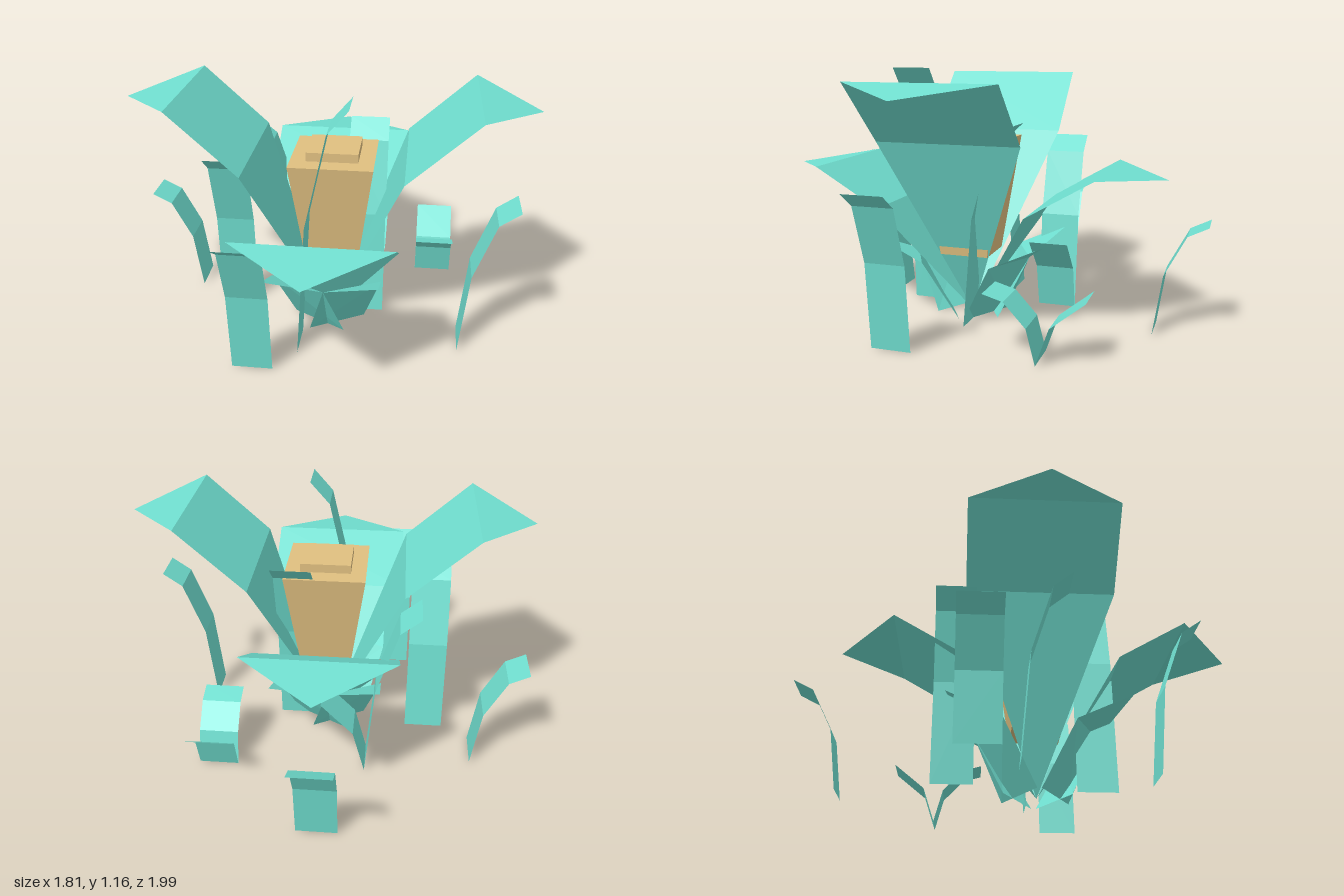
import * as THREE from 'three';

const leafMat = new THREE.MeshStandardMaterial({ color: 0x70dfd0, flatShading: true, side: THREE.DoubleSide });
const coreMat = new THREE.MeshStandardMaterial({ color: 0xdfbf80, flatShading: true, side: THREE.DoubleSide });
const CZ = 0.09; // z of the flower's axis

// Thin sheet through rows of points; a row holds one point (a tip) or two (a left and right edge).
function sheet(rows, name) {
  const pos = [];
  for (let i = 0; i + 1 < rows.length; i++) {
    const a = rows[i], b = rows[i + 1];
    if (a.length === 2) pos.push(...a[0], ...a[1], ...b[b.length - 1]);
    if (b.length === 2) pos.push(...a[0], ...b[1], ...b[0]);
  }
  const geo = new THREE.BufferGeometry();
  geo.setAttribute('position', new THREE.Float32BufferAttribute(pos, 3));
  geo.computeVertexNormals();
  const mesh = new THREE.Mesh(geo, leafMat);
  mesh.name = name;
  return mesh;
}

// Large folded petal pointing along +z before it is turned
function petal(h, name) {
  const w = 0.33;
  return sheet([
    [[0, 0, 0]],
    [[-w, 0.845 * h, 0.34], [w, 0.845 * h, 0.34]],
    [[-w, 1.12 * h, 0.64], [w, 1.12 * h, 0.64]],
    [[0, 1.068 * h, 0.905]],
  ], name);
}

// Grass blade: a folded strip bending along +z before it is turned
const TALL = [[0, 0], [0.04, 0.545], [0.135, 0.91], [0.225, 1]];
const SHORT = [[0, 0], [0.055, 0.58], [0.2, 1]];
function blade(x, z, turn, h, profile = TALL) {
  const m = sheet(profile.map(([d, y]) => [[-0.09, y * h, d], [0.09, y * h, d]]), 'grassBlade');
  m.position.set(x, 0, z);
  m.rotation.y = turn;
  return m;
}

export function createModel() {
  const model = new THREE.Group();

  // Petals: the side pair stands taller than the front and back pair
  const petals = new THREE.Group();
  petals.name = 'petals';
  petals.position.z = CZ;
  ['frontPetal', 'leftPetal', 'backPetal', 'rightPetal'].forEach((name, i) => {
    const p = petal(i % 2 ? 1 : 0.64, name);
    p.rotation.y = i * Math.PI / 2;
    petals.add(p);
  });
  model.add(petals);

  // Small pointed leaves around the base, mirrored to four corners
  const leaves = new THREE.Group();
  leaves.name = 'baseLeaves';
  leaves.position.z = CZ;
  for (const sx of [1, -1]) for (const sz of [1, -1]) {
    const p = (x, y, z) => [x * sx, y, z * sz];
    leaves.add(sheet([
      [p(-0.08, 0, 0.15), p(0.165, 0, 0.01)],
      [p(0, 0.285, 0.28), p(0.25, 0.285, 0.16)],
      [p(0.25, 0.4, 0.41)],
    ], 'baseLeaf'));
  }
  model.add(leaves);

  // Core: a block tapering downwards with a small cap
  const core = new THREE.Group();
  core.name = 'core';
  core.position.set(0.02, 0, CZ);
  const block = new THREE.BoxGeometry(0.37, 0.54, 0.38);
  const v = block.attributes.position;
  for (let i = 0; i < v.count; i++) {
    if (v.getY(i) < 0) v.setXYZ(i, v.getX(i) * 0.6, v.getY(i), v.getZ(i) * 0.6);
  }
  block.computeVertexNormals();
  const body = new THREE.Mesh(block, coreMat);
  body.name = 'coreBody';
  body.position.y = 0.57;
  const cap = new THREE.Mesh(new THREE.BoxGeometry(0.23, 0.08, 0.22), coreMat);
  cap.name = 'coreCap';
  cap.position.y = 0.84;
  core.add(body, cap);
  model.add(core);

  // Grass blades: x, z of the foot, direction of the bend, height
  const F = 0, L = Math.PI / 2, B = Math.PI, R = -Math.PI / 2;
  const grass = new THREE.Group();
  grass.name = 'grass';
  for (const b of [
    [-0.29, 0.565, F, 0.705], [-0.465, -0.01, F, 0.825], [0.49, -0.375, F, 0.28],
    [0.49, -0.375, B, 0.28, SHORT], [0.16, 0.05, B, 0.92], [-0.01, -0.775, B, 0.5],
    [0.605, 0.245, L, 0.705], [-0.11, 0.347, L, 1.16], [-0.19, -0.28, L, 0.358, SHORT],
    [-0.19, -0.28, R, 0.82], [-0.68, -0.178, R, 0.5],
  ]) grass.add(blade(...b));
  model.add(grass);

  return model;
}
